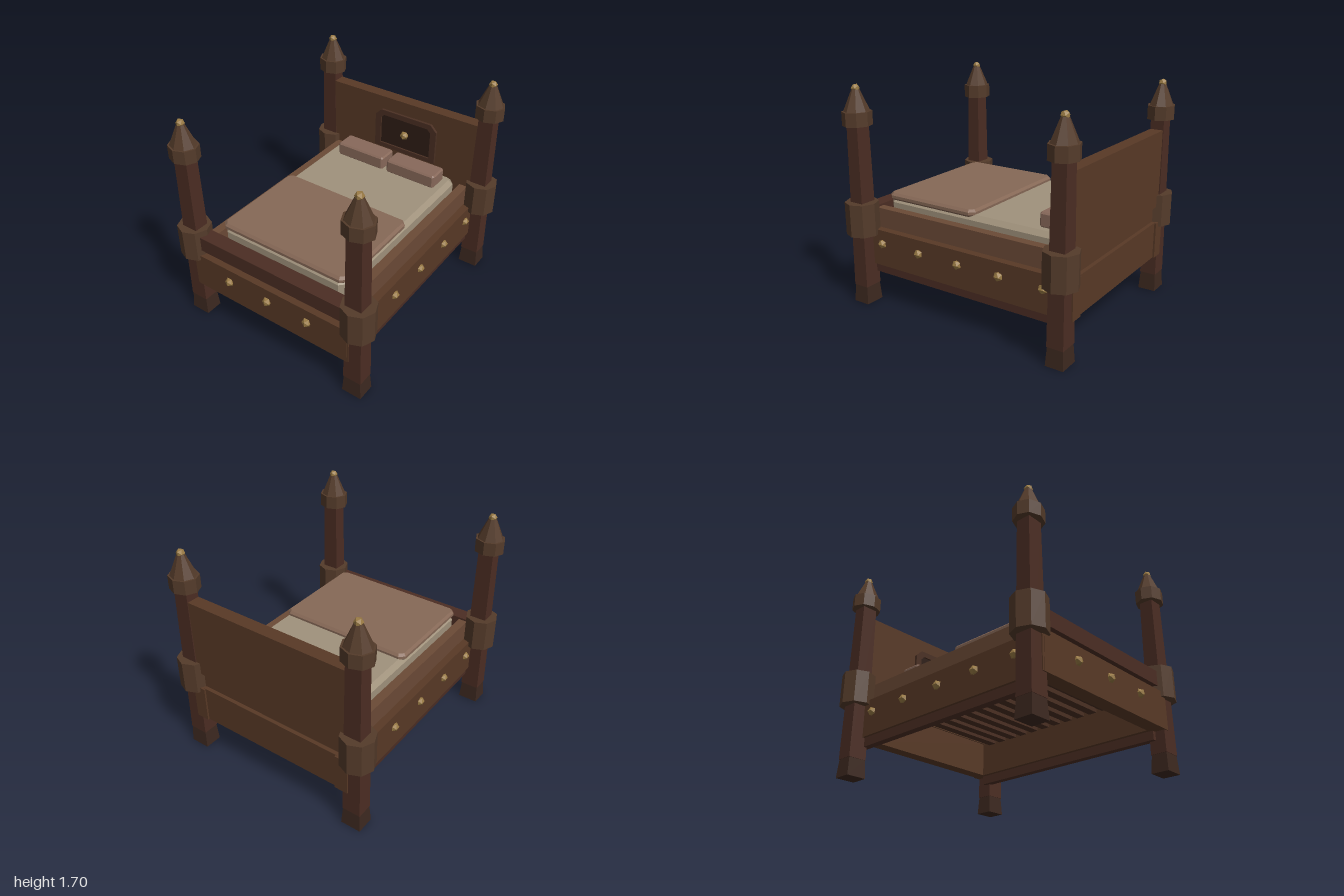
import * as THREE from 'three';

const mat = (color) => new THREE.MeshStandardMaterial({ color, flatShading: true });

export function createModel() {
  const bed = new THREE.Group();
  bed.name = 'fourPostBed';
  const M = {
    post: mat(0x4b2d23), foot: mat(0x3c281f), collar: mat(0x543b2a), board: mat(0x583926),
    rail: mat(0x6b4a36), dark: mat(0x2e1d16), slat: mat(0x4a2f22), gold: mat(0x9a7b45),
    mattress: mat(0xa0927c), blanket: mat(0x866856), pillow: mat(0x88695a),
  };

  const add = (name, geo, material, x = 0, y = 0, z = 0, parent = bed) => {
    const mesh = new THREE.Mesh(geo, material);
    mesh.name = name;
    mesh.position.set(x, y, z);
    parent.add(mesh);
    return mesh;
  };

  // Box given by its limits on each axis
  const box = (name, material, x0, x1, y0, y1, z0, z1) =>
    add(name, new THREE.BoxGeometry(x1 - x0, y1 - y0, z1 - z0), material,
      (x0 + x1) / 2, (y0 + y1) / 2, (z0 + z1) / 2);

  // Box with chamfered edges and cut corners, given by its limits
  const softBox = (name, material, x0, x1, y0, y1, z0, z1, c, corner) => {
    const w = (x1 - x0) / 2 - c, d = (z1 - z0) / 2 - c, k = corner;
    const shape = new THREE.Shape([
      [-w + k, -d], [w - k, -d], [w, -d + k], [w, d - k],
      [w - k, d], [-w + k, d], [-w, d - k], [-w, -d + k],
    ].map(([x, y]) => new THREE.Vector2(x, y)));
    const geo = new THREE.ExtrudeGeometry(shape, {
      depth: y1 - y0 - 2 * c, bevelEnabled: true, bevelSize: c, bevelThickness: c, bevelSegments: 1,
    });
    geo.rotateX(-Math.PI / 2);
    return add(name, geo, material, (x0 + x1) / 2, y0 + c, (z0 + z1) / 2);
  };

  const stud = (name, x, y, z, parent = bed) =>
    add(name, new THREE.IcosahedronGeometry(0.037, 0), M.gold, x, y, z, parent);

  // Square tapered prism; half widths at top and bottom
  const taper = (top, bottom, h) => {
    const geo = new THREE.CylinderGeometry(top * Math.SQRT2, bottom * Math.SQRT2, h, 4);
    return geo.rotateY(Math.PI / 4).scale(1, 1, 0.88);
  };
  const octagon = (top, bottom, h, sz = 1) =>
    new THREE.CylinderGeometry(top, bottom, h, 8).scale(1, 1, sz);

  // Four corner posts
  for (const sx of [-1, 1]) for (const sz of [-1, 1]) {
    const post = new THREE.Group();
    post.name = 'cornerPost';
    post.position.set(sx * 0.733, 0, sz * 0.873);
    bed.add(post);
    add('foot', taper(0.069, 0.079, 0.14), M.foot, 0, 0.07, 0, post);
    add('shaft', taper(0.06, 0.073, 1.28), M.post, 0, 0.78, 0, post);
    add('collar', octagon(0.128, 0.128, 0.255), M.collar, sx * 0.008, 0.687, 0, post);
    add('cap', octagon(0.117, 0.117, 0.105, 0.9), M.collar, 0, 1.4525, 0, post);
    add('capSpire', octagon(0.03, 0.102, 0.16, 0.9), M.collar, 0, 1.585, 0, post);
    stud('finial', 0, 1.672, 0, post).scale.setScalar(0.9);
  }

  // Side rails, trims and studs
  for (const s of [-1, 1]) {
    const side = (name, m, a, b, ...r) => box(name, m, Math.min(s * a, s * b), Math.max(s * a, s * b), ...r);
    side('lowerSideRail', M.board, 0.6, 0.705, 0.31, 0.597, -0.944, 0.942);
    side('upperSideRail', M.rail, 0.575, 0.645, 0.595, 0.75, -0.83, 0.83);
    side('sideTrim', M.post, 0.63, 0.685, 0.24, 0.32, -0.86, 0.86);
    for (let i = -2; i <= 2; i++) stud('sideStud', s * 0.703, 0.49, i * 0.358);
  }

  // Foot end
  box('footPanel', M.board, -0.69, 0.69, 0.308, 0.6, 0.83, 0.945);
  box('footFiller', M.board, -0.62, 0.62, 0.59, 0.65, 0.82, 0.87);
  box('footRail', M.post, -0.66, 0.66, 0.645, 0.765, 0.81, 0.93);
  for (const x of [-0.357, 0, 0.357]) stud('footStud', x, 0.49, 0.945);

  // Head end
  box('headboard', M.board, -0.68, 0.68, 0.72, 1.322, -0.922, -0.82);
  box('headRail', M.board, -0.66, 0.66, 0.59, 0.73, -0.9, -0.82);
  box('headPanel', M.board, -0.61, 0.61, 0.31, 0.6, -0.93, -0.83);

  // Framed plaque on the headboard
  const plaquePoints = (w, y0, y1, c) => [
    [-w, y0], [w, y0], [w, y1 - c], [w - c, y1], [-w + c, y1], [-w, y1 - c],
  ].map(([x, y]) => new THREE.Vector2(x, y));
  const frame = new THREE.Shape(plaquePoints(0.287, 0.865, 1.21, 0.055));
  frame.holes.push(new THREE.Path(plaquePoints(0.235, 0.9, 1.165, 0.03)));
  add('plaqueFrame', new THREE.ExtrudeGeometry(frame, { depth: 0.024, bevelEnabled: false }),
    M.slat, 0.047, 0, -0.822);
  const inner = new THREE.Shape(plaquePoints(0.26, 0.88, 1.185, 0.04));
  add('plaquePanel', new THREE.ExtrudeGeometry(inner, { depth: 0.01, bevelEnabled: false }),
    M.dark, 0.047, 0, -0.822);
  stud('plaqueStud', 0.043, 1.035, -0.8);

  // Slats under the mattress
  for (let i = 0; i < 13; i++) {
    const z = -0.72 + i * 0.12;
    box('slat', M.slat, -0.61, 0.61, 0.565, 0.605, z - 0.035, z + 0.035);
  }

  // Bedding
  softBox('mattress', M.mattress, -0.553, 0.553, 0.605, 0.818, -0.79, 0.775, 0.035, 0.03);
  softBox('blanket', M.blanket, -0.555, 0.555, 0.795, 0.853, -0.033, 0.78, 0.018, 0.03);
  softBox('rightPillow', M.pillow, -0.44, 0, 0.815, 0.927, -0.712, -0.54, 0.012, 0.008);
  softBox('leftPillow', M.pillow, 0.035, 0.477, 0.815, 0.927, -0.712, -0.54, 0.012, 0.008);

  return bed;
}
